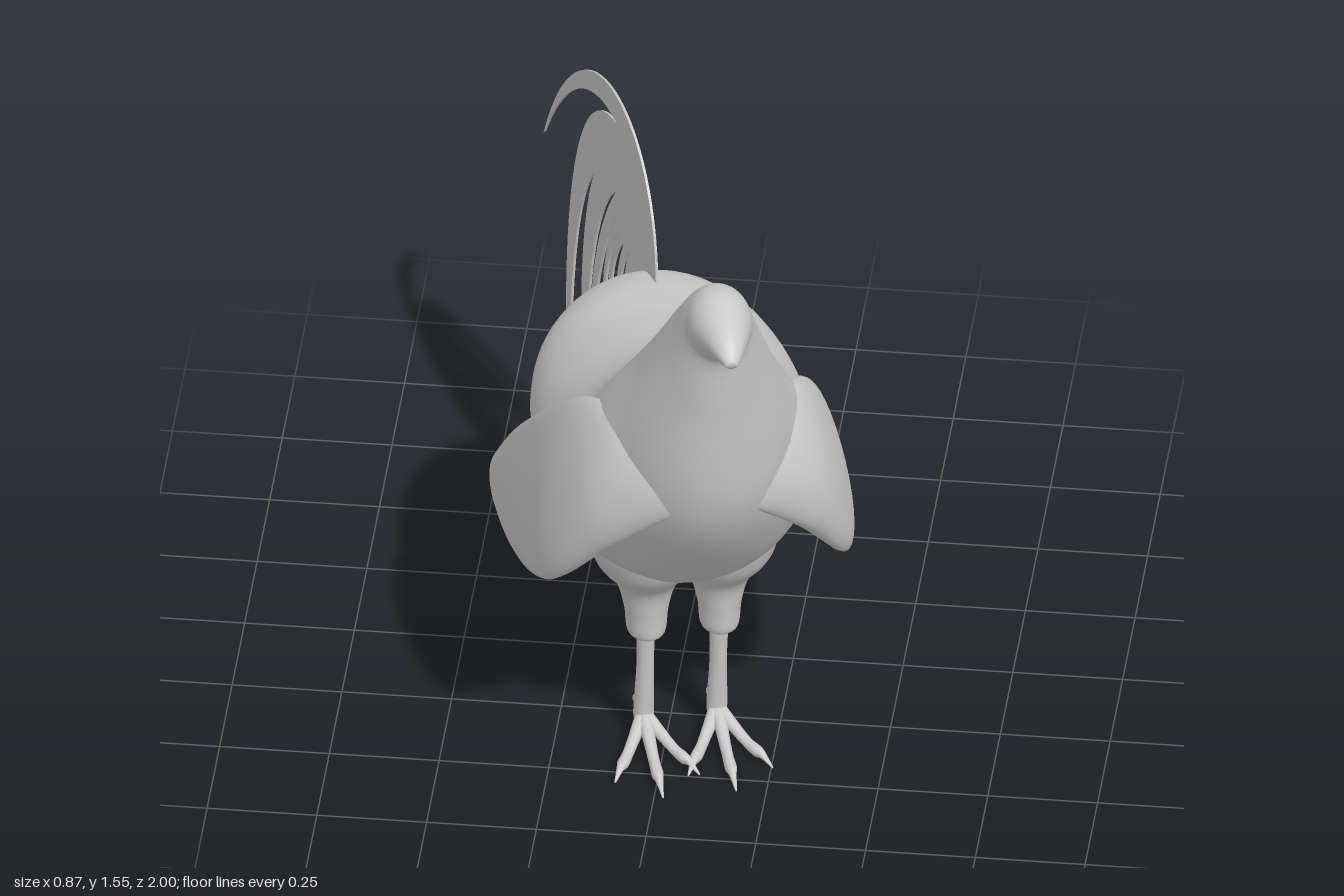
import * as THREE from 'three';

const material = new THREE.MeshStandardMaterial({ color: 0xcccccc, side: THREE.DoubleSide });

function addMesh(parent, name, geometry) {
  const mesh = new THREE.Mesh(geometry, material);
  mesh.name = name;
  parent.add(mesh);
  return mesh;
}

// Smooth skin over oval sections: [topX, bottomX, topZ, topY, bottomZ, bottomY, halfWidth]
function loft(stations, steps, sides) {
  const curve = (f) => new THREE.CatmullRomCurve3(stations.map(f), false, 'catmullrom', 0.5);
  const top = curve((s) => new THREE.Vector3(s[0], s[3], s[2]));
  const bottom = curve((s) => new THREE.Vector3(s[1], s[5], s[4]));
  const width = curve((s) => new THREE.Vector3(s[6], 0, 0));
  const positions = [], index = [];
  for (let i = 0; i <= steps; i++) {
    const T = top.getPoint(i / steps), B = bottom.getPoint(i / steps);
    const w = Math.max(width.getPoint(i / steps).x, 0.001);
    const c = T.clone().add(B).multiplyScalar(0.5), a = T.clone().sub(c);
    for (let j = 0; j < sides; j++) {
      const t = (j / sides) * Math.PI * 2;
      const p = c.clone().addScaledVector(a, Math.cos(t));
      positions.push(p.x + w * Math.sin(t), p.y, p.z);
      if (i === steps) continue;
      const p0 = i * sides + j, p1 = i * sides + (j + 1) % sides;
      index.push(p0, p0 + sides, p1, p1, p0 + sides, p1 + sides);
    }
  }
  // end caps
  for (const end of [0, 1]) {
    const c = top.getPoint(end).add(bottom.getPoint(end)).multiplyScalar(0.5);
    const k = positions.length / 3, ring = end * steps * sides;
    positions.push(c.x, c.y, c.z);
    for (let j = 0; j < sides; j++) {
      const p0 = ring + j, p1 = ring + (j + 1) % sides;
      if (end) index.push(k, p1, p0); else index.push(k, p0, p1);
    }
  }
  const g = new THREE.BufferGeometry();
  g.setAttribute('position', new THREE.Float32BufferAttribute(positions, 3));
  g.setIndex(index);
  g.computeVertexNormals();
  return g;
}

// Body, neck and head in one skin: [topZ, topY, bottomZ, bottomY, halfWidth]
const bodySections = [
  [-0.215, 0.84, -0.208, 0.79, 0.03],
  [-0.185, 0.93, -0.175, 0.7, 0.16],
  [-0.08, 0.972, -0.09, 0.6, 0.255],
  [0.085, 1, 0.065, 0.53, 0.305],
  [0.29, 1.06, 0.245, 0.48, 0.31],
  [0.415, 1.13, 0.455, 0.51, 0.29],
  [0.5, 1.22, 0.64, 0.67, 0.255],
  [0.595, 1.345, 0.805, 0.91, 0.182],
  [0.692, 1.465, 0.862, 1.23, 0.112],
  [0.775, 1.54, 0.882, 1.38, 0.08],
  [0.855, 1.56, 0.912, 1.42, 0.068],
  [0.96, 1.53, 0.962, 1.45, 0.042],
  [1.018, 1.485, 1.014, 1.465, 0.014],
];

// Folded wing, tip to shoulder: [topX, bottomX, topZ, topY, bottomZ, bottomY, halfWidth]
const wingSections = [
  [0.365, 0.365, -0.085, 0.505, -0.07, 0.475, 0.006],
  [0.36, 0.365, -0.045, 0.57, 0.02, 0.45, 0.018],
  [0.335, 0.365, 0.12, 0.75, 0.21, 0.48, 0.028],
  [0.285, 0.355, 0.35, 0.96, 0.44, 0.56, 0.044],
  [0.23, 0.325, 0.5, 1.07, 0.58, 0.64, 0.056],
  [0.165, 0.24, 0.65, 1.1, 0.69, 0.78, 0.068],
  [0.09, 0.14, 0.745, 1.07, 0.755, 0.88, 0.06],
  [0.03, 0.05, 0.79, 1.03, 0.79, 0.94, 0.03],
];

// Upright section of a leg: centre z, height, radius in z, radius in x
const legSection = (x) => ([z, y, rz, rx]) => [x, x, z + rz, y, z - rz, y, rx];

// Lying section of a toe: distance along it, height, radius
const toeSection = ([z, y, r]) => [0, 0, z, y + r, z, y - r, r];

function addLeg(parent, side) {
  const leg = new THREE.Group();
  leg.name = side > 0 ? 'leftLeg' : 'rightLeg';
  parent.add(leg);
  const x = 0.084 * side;
  addMesh(leg, 'thigh', loft([
    [0.35, 0.7, 0.2, 0.16], [0.35, 0.54, 0.145, 0.125], [0.345, 0.46, 0.085, 0.072],
    [0.345, 0.385, 0.066, 0.051], [0.345, 0.325, 0.058, 0.045], [0.345, 0.31, 0.042, 0.034],
  ].map(legSection(x)), 30, 24));
  addMesh(leg, 'shank', loft([
    [0.345, 0.36, 0.024, 0.024], [0.332, 0.22, 0.02, 0.02],
    [0.312, 0.08, 0.024, 0.024], [0.314, 0.045, 0.022, 0.022],
  ].map(legSection(x)), 16, 12));
  const foot = new THREE.Group();
  foot.name = 'foot';
  foot.position.set(x, 0, 0.312);
  leg.add(foot);
  // three front toes and one hind toe, each ending in a claw
  const toes = [['innerToe', -0.48 * side, 0.21], ['middleToe', 0, 0.265],
    ['outerToe', 0.48 * side, 0.21], ['hindToe', Math.PI, 0.1]];
  for (const [name, turn, len] of toes) {
    const lift = name === 'hindToe' ? 0.035 : 0;
    addMesh(foot, name, loft([
      [-0.005, 0.065, 0.018], [len * 0.5, 0.028 + lift, 0.013],
      [len * 0.72, 0.022 + lift, 0.014], [len * 0.82, 0.022 + lift, 0.009],
      [len, 0.008 + lift, 0.002],
    ].map(toeSection), 15, 10)).rotation.y = turn;
  }
  const spur = [[-0.01, 0.145, 0.014], [0.04, 0.158, 0.011], [0.09, 0.182, 0.002]];
  addMesh(foot, 'spur', loft(spur.map(toeSection), 8, 8)).rotation.y = Math.PI - 0.25;
}

// Long tail feathers: two Bezier curves each, out to the tip and back to the next notch
const longFeathers = [
  [[0.06, 1.42, 0.68, 1.34, 1, 0.72], [0.85, 0.955, 0.62, 1.165, 0.38, 1.178]],
  [[0.75, 1.09, 0.88, 0.55, 0.775, 0.01], [0.81, 0.4, 0.73, 0.76, 0.57, 0.91]],
  [[0.69, 0.72, 0.72, 0.35, 0.63, 0.15], [0.685, 0.45, 0.575, 0.85, 0.385, 0.99]],
  [[0.505, 0.85, 0.635, 0.6, 0.595, 0.39], [0.59, 0.57, 0.475, 0.82, 0.385, 0.92]],
];

// Short tail feathers: tip and next notch
const shortFeathers = [
  [0.48, 0.545, 0.35, 0.91], [0.435, 0.615, 0.315, 0.9], [0.365, 0.545, 0.28, 0.9],
  [0.3, 0.37, 0.225, 0.91], [0.17, 0.35, 0.185, 0.89],
];

function tailGeometry() {
  const shape = new THREE.Shape();
  shape.moveTo(0.05, 0.97);
  for (const [out, back] of longFeathers) {
    shape.bezierCurveTo(...out);
    shape.bezierCurveTo(...back);
  }
  for (const [tipX, tipY, notchX, notchY] of shortFeathers) {
    const { x, y } = shape.currentPoint;
    const drop = y - tipY, upper = y - 0.3 * drop, lower = tipY + 0.3 * drop;
    const bow = tipX + 0.2 * drop - 0.02;
    shape.bezierCurveTo(x + 0.075, upper, bow, lower, tipX, tipY);
    shape.bezierCurveTo(bow - 0.028, lower, notchX + 0.095, upper, notchX, notchY);
  }
  shape.lineTo(0.1, 0.85);
  shape.closePath();
  const g = new THREE.ExtrudeGeometry(shape, { depth: 0.006, bevelEnabled: false, curveSegments: 30 });
  // the fan is drawn in side elevation; its own plane is slightly longer
  return g.translate(0, 0, -0.003).scale(1.07, 1, 1);
}

export function createModel() {
  const model = new THREE.Group();
  model.name = 'rooster';

  // the bird stands turned a little towards its left
  const turn = 0.28;
  const bird = new THREE.Group();
  bird.name = 'bird';
  bird.rotation.y = turn;
  bird.position.set(-0.06 * Math.cos(turn), 0, 0.06 * Math.sin(turn));
  model.add(bird);

  const body = bodySections.map((s) => [0, 0, ...s]);
  addMesh(bird, 'body', loft(body, 90, 48));
  for (const side of [1, -1]) {
    const wing = wingSections.map(([t, b, ...s]) => [t * side, b * side, ...s]);
    addMesh(bird, side > 0 ? 'leftWing' : 'rightWing', loft(wing, 60, 32));
    addLeg(bird, side);
  }

  // flat fan of tail feathers
  const tail = addMesh(model, 'tail', tailGeometry());
  tail.rotation.y = 1.937;
  tail.position.x = -0.047;
  return model;
}
